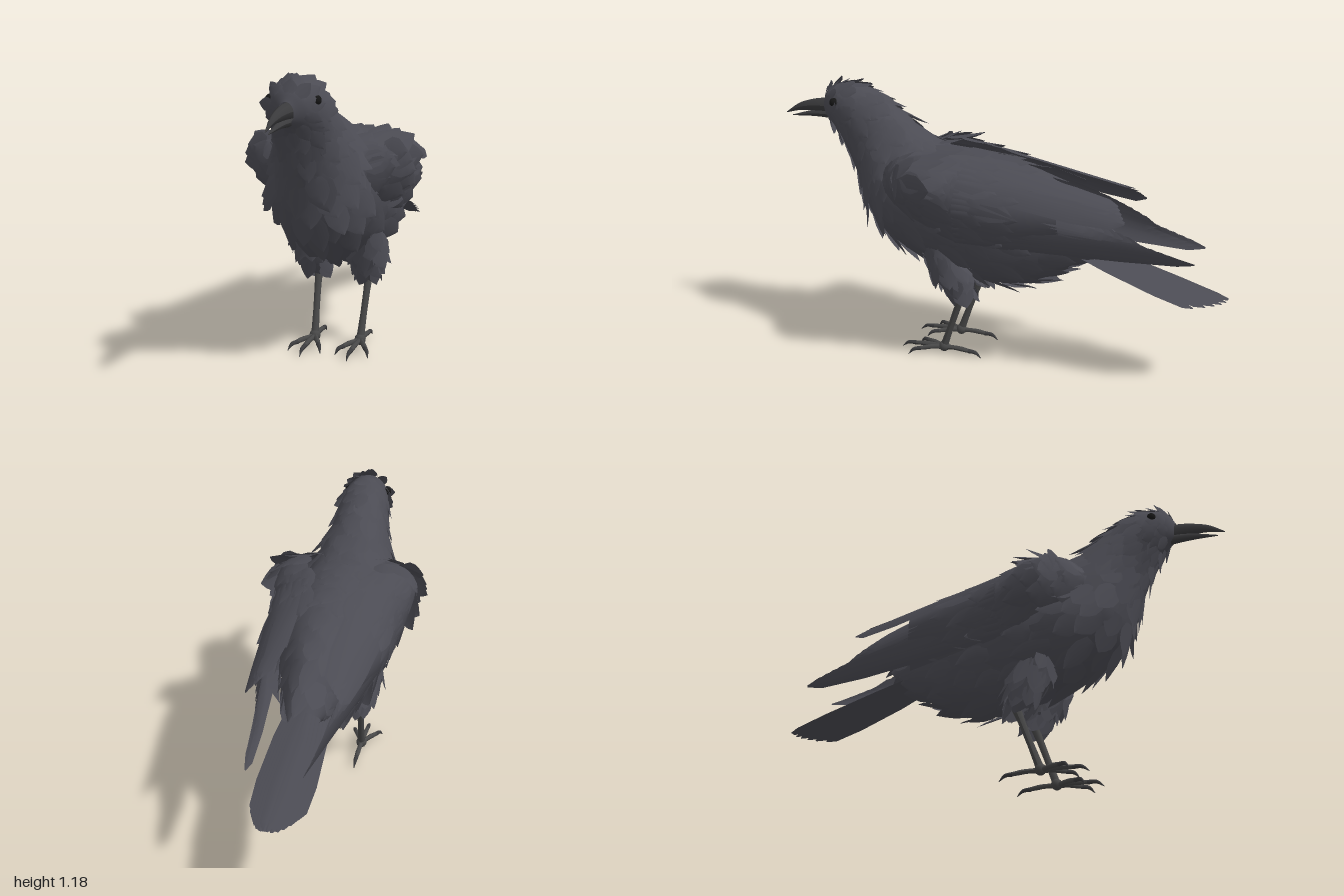
import * as THREE from 'three';
import { ParametricGeometry } from 'three/addons/geometries/ParametricGeometry.js';

const V = (x, y, z) => new THREE.Vector3(x, y, z);
const lerp = THREE.MathUtils.lerp;
const paint = (color) => new THREE.MeshStandardMaterial({ color, side: THREE.DoubleSide });
const plumage = paint(0x4b4b53);
const horn = paint(0x3b3b3d);
const skin = paint(0x474747);
const eyeBlack = paint(0x161616);

let seed = 7;
const rand = () => (seed = (seed * 16807) % 2147483647) / 2147483647;
const jitter = (r) => (rand() - 0.5) * 2 * r;

function named(name, geometry, material) {
  const mesh = new THREE.Mesh(geometry, material);
  mesh.name = name;
  return mesh;
}

// Feather outlines: [distance along, half width]
const POINTED = [[0, 0.55], [0.3, 1], [0.6, 0.95], [0.82, 0.55], [1, 0.03]];
const LONG = [[0, 0.4], [0.3, 0.85], [0.7, 1], [0.93, 0.75], [1, 0.12]];

// Collects many curved feathers into one geometry
class Feathers {
  constructor() { this.pos = []; this.idx = []; }

  add(from, to, normal, halfWidth, lift = 0.01, shape = POINTED) {
    const dir = to.clone().sub(from).normalize();
    const side = normal.clone().cross(dir).normalize();
    const up = dir.clone().cross(side);
    const base = this.pos.length / 3;
    shape.forEach(([s, w], i) => {
      for (const c of [-1, 0, 1]) {
        const p = from.clone().lerp(to, s)
          .addScaledVector(side, c * w * halfWidth)
          .addScaledVector(up, lift * s - Math.abs(c) * w * halfWidth * 0.2);
        this.pos.push(p.x, p.y, p.z);
      }
      if (i === 0) return;
      for (const c of [0, 1]) {
        const a = base + (i - 1) * 3 + c;
        this.idx.push(a, a + 3, a + 1, a + 1, a + 3, a + 4);
      }
    });
  }

  // Staggered rows of feathers laid over a surface(u along, v across)
  cover(surface, { rows, count, u0 = 0, u1 = 1, v0 = 0, v1 = 1, length, width, lift = 0.015 }) {
    for (let i = 0; i < rows; i++) {
      const k = i / (rows - 1);
      const n = Math.round(lerp(count[0], count[1], k));
      for (let j = 0; j < n; j++) {
        const u = lerp(u0, u1, k) + jitter(0.014);
        const v = lerp(v0, v1, (j + (i % 2) * 0.5 + jitter(0.25)) / n);
        const p = surface(u, v);
        const along = surface(u + 0.03, v).sub(p).normalize();
        const across = surface(u, v + 0.01).sub(p).normalize();
        const normal = across.clone().cross(along).normalize();
        const len = length(k) * (1 + jitter(0.25));
        const tip = p.clone().addScaledVector(along, len).addScaledVector(across, len * jitter(0.15));
        this.add(p.addScaledVector(normal, 0.003), tip, normal, width(k) * (1 + jitter(0.2)), lift * (1 + jitter(0.9)));
      }
    }
  }

  mesh(name) {
    const g = new THREE.BufferGeometry();
    g.setAttribute('position', new THREE.Float32BufferAttribute(this.pos, 3));
    g.setIndex(this.idx);
    g.computeVertexNormals();
    return named(name, g, plumage);
  }
}

const skinOf = (surface, nu, nv) =>
  new ParametricGeometry((a, b, t) => t.copy(surface(b, a)), nv, nu);

// Round tube whose radius follows a list of values
function taperTube(points, radii, squash = 1) {
  const curve = new THREE.CatmullRomCurve3(points);
  const N = 14, R = 8;
  const g = new THREE.TubeGeometry(curve, N, 1, R);
  const p = g.attributes.position;
  for (let i = 0; i < p.count; i++) {
    const t = Math.floor(i / (R + 1)) / N;
    const c = curve.getPointAt(t);
    const f = t * (radii.length - 1), k = Math.min(Math.floor(f), radii.length - 2);
    const v = V().fromBufferAttribute(p, i).sub(c).multiplyScalar(lerp(radii[k], radii[k + 1], f - k));
    v.x *= squash;
    p.setXYZ(i, c.x + v.x, c.y + v.y, c.z + v.z);
  }
  g.computeVertexNormals();
  return g;
}

// Body sections: top z, top y, bottom z, bottom y, half width
const SECTIONS = [
  [0.80, 1.08, 0.79, 1.0, 0.03], [0.765, 1.13, 0.75, 0.97, 0.075], [0.67, 1.15, 0.71, 0.92, 0.1],
  [0.53, 1.1, 0.665, 0.83, 0.114], [0.40, 1.0, 0.615, 0.72, 0.15], [0.29, 0.925, 0.55, 0.57, 0.2],
  [0.12, 0.905, 0.41, 0.455, 0.225], [-0.05, 0.88, 0.22, 0.385, 0.22], [-0.2, 0.83, 0.0, 0.335, 0.195],
  [-0.35, 0.745, -0.18, 0.365, 0.14], [-0.5, 0.6, -0.42, 0.5, 0.07],
];
const topLine = new THREE.CatmullRomCurve3(SECTIONS.map((s) => V(s[4], s[1], s[0])));
const bottomLine = new THREE.CatmullRomCurve3(SECTIONS.map((s) => V(s[4], s[3], s[2])));
function bodySurface(u, v) {
  const k = THREE.MathUtils.clamp(u, 0, 1);
  const t = topLine.getPoint(k), b = bottomLine.getPoint(k), a = v * Math.PI * 2;
  const c = (1 + Math.cos(a)) / 2;
  return V(Math.sin(a) * t.x, lerp(b.y, t.y, c), lerp(b.z, t.z, c));
}

// Folded wing: upper edge, outermost line and lower edge; the front tucks into the breast
const upperEdge = new THREE.CatmullRomCurve3([V(0.11, 0.86, 0.45), V(0.17, 0.905, 0.29), V(0.13, 0.905, 0.12), V(0.1, 0.87, -0.1), V(0.09, 0.8, -0.36)]);
const outerLine = new THREE.CatmullRomCurve3([V(0.15, 0.8, 0.48), V(0.3, 0.83, 0.31), V(0.275, 0.79, 0.13), V(0.255, 0.75, -0.08), V(0.215, 0.71, -0.33)]);
const lowerEdge = new THREE.CatmullRomCurve3([V(0.14, 0.7, 0.47), V(0.235, 0.66, 0.3), V(0.24, 0.6, 0.14), V(0.205, 0.555, -0.08), V(0.125, 0.54, -0.36)]);
function wingSurface(u, v) {
  const k = THREE.MathUtils.clamp(u, 0, 1);
  const a = upperEdge.getPoint(k), m = outerLine.getPoint(k), b = lowerEdge.getPoint(k);
  return a.multiplyScalar((1 - v) * (1 - 2 * v)).addScaledVector(m, 4 * v * (1 - v)).addScaledVector(b, v * (2 * v - 1));
}

function makeWing() {
  const wing = new THREE.Group();
  wing.add(named('wingShell', skinOf(wingSurface, 20, 12), plumage));
  const flight = new Feathers();
  // groups: v range, first tip, last tip, number, half width
  const sets = [
    [0.72, 1, V(0.125, 0.6, -0.68), V(0.105, 0.558, -0.87), 6, 0.032],
    [0.38, 0.7, V(0.18, 0.68, -0.48), V(0.13, 0.615, -0.66), 6, 0.04],
    [0.02, 0.36, V(0.135, 0.765, -0.56), V(0.18, 0.715, -0.6), 5, 0.048],
  ];
  for (const [v0, v1, tipA, tipB, n, w] of sets) {
    for (let i = 0; i < n; i++) {
      const k = i / (n - 1), v = lerp(v0, v1, k);
      const root = wingSurface(0.55, v);
      const normal = wingSurface(0.55, v + 0.02).sub(root).cross(wingSurface(0.65, v).sub(root)).normalize();
      root.addScaledVector(normal, 0.004 + 0.002 * i);
      flight.add(root, tipA.clone().lerp(tipB, k), normal, w, 0.006, LONG);
    }
  }
  wing.add(flight.mesh('flightFeathers'));
  const coverts = new Feathers();
  coverts.cover(wingSurface, { rows: 7, count: [6, 8], u0: 0.06, u1: 0.62, v0: 0.04, v1: 0.98,
    length: (k) => lerp(0.12, 0.2, k), width: (k) => lerp(0.052, 0.042, k), lift: 0.01 });
  // loose shoulder feathers pointing outward
  for (let i = 0; i < 3; i++) {
    const root = wingSurface(0.17, 0.3 + i * 0.12);
    coverts.add(root, root.clone().add(V(0.085, -0.015 - i * 0.015, -0.03 - i * 0.02)), V(0.4, 0.2, 1), 0.05, 0.008);
  }
  wing.add(coverts.mesh('wingCoverts'));
  return wing;
}

function makeLeg() {
  const leg = new THREE.Group();
  // feathered thigh
  const thigh = (u, v) => {
    const a = v * Math.PI * 2, r = 0.035 + 0.05 * Math.sin(Math.PI * Math.min(1, 0.3 + u * 0.65));
    return V(0.118 - Math.sin(a) * r * 0.85, lerp(0.54, 0.3, u), lerp(0.22, 0.125, u) + Math.cos(a) * r);
  };
  leg.add(named('thigh', skinOf(thigh, 10, 14), plumage));
  const tuft = new Feathers();
  tuft.cover(thigh, { rows: 6, count: [7, 7], u0: 0.1, u1: 0.85, length: (k) => lerp(0.12, 0.07, k), width: () => 0.04, lift: 0.022 });
  leg.add(tuft.mesh('thighFeathers'));
  // shank and ankle
  leg.add(named('shank', taperTube([V(0.118, 0.34, 0.1), V(0.112, 0.19, 0.155), V(0.105, 0.035, 0.21)], [0.022, 0.015, 0.014, 0.017]), skin));
  const ankle = named('ankle', new THREE.SphereGeometry(0.024, 12, 8), skin);
  ankle.position.set(0.105, 0.034, 0.21);
  leg.add(ankle);
  // three toes forward, one back, each with a hooked claw
  for (const [dx, dz] of [[0, 0.2], [0.072, 0.14], [-0.068, 0.14], [0.004, -0.175]]) {
    const at = (k, y) => V(0.105 + dx * k, y, 0.21 + dz * k);
    leg.add(named('toe', taperTube([at(0, 0.03), at(0.35, 0.033), at(0.7, 0.028)], [0.014, 0.01, 0.011, 0.009]), skin));
    leg.add(named('claw', taperTube([at(0.66, 0.028), at(0.85, 0.025), at(1, 0.003)], [0.01, 0.008, 0.001]), horn));
  }
  return leg;
}

export function createModel() {
  seed = 7;
  const bird = new THREE.Group();
  bird.name = 'bird';
  bird.add(named('body', skinOf(bodySurface, 48, 32), plumage));

  // body plumage: fine on the head, larger toward the belly
  const coat = new Feathers();
  coat.cover(bodySurface, { rows: 9, count: [10, 16], u0: 0.07, u1: 0.34, length: (k) => lerp(0.055, 0.11, k), width: (k) => lerp(0.024, 0.038, k), lift: 0.016 });
  coat.cover(bodySurface, { rows: 13, count: [16, 12], u0: 0.36, u1: 0.93, length: (k) => lerp(0.13, 0.14, k), width: (k) => lerp(0.05, 0.042, k), lift: 0.022 });
  bird.add(coat.mesh('bodyFeathers'));

  // tail fan, outer feathers lower and shorter
  const tail = new Feathers();
  for (let i = 5; i >= 0; i--) {
    for (const s of [-1, 1]) {
      const x = s * (i + 0.4);
      tail.add(V(x * 0.014, 0.575 - i * 0.008, -0.36), V(x * 0.0155, 0.388 - i * 0.005, -0.995 + i * i * 0.005), V(0, 1, -0.28), 0.038, 0, LONG);
    }
  }
  bird.add(tail.mesh('tail'));

  // bill
  bird.add(named('upperBill', taperTube([V(0, 1.045, 0.76), V(0, 1.042, 0.85), V(0, 1.028, 0.93), V(0, 0.998, 1.0)], [0.036, 0.029, 0.018, 0.002], 0.75), horn));
  bird.add(named('lowerBill', taperTube([V(0, 1.008, 0.76), V(0, 1.004, 0.86), V(0, 0.987, 0.97)], [0.022, 0.014, 0.002]), horn));

  for (const s of [1, -1]) {
    const half = new THREE.Group();
    half.name = s > 0 ? 'leftSide' : 'rightSide';
    half.scale.x = s;
    const wing = makeWing();
    wing.name = 'wing';
    const leg = makeLeg();
    leg.name = 'leg';
    leg.position.x = s > 0 ? 0 : -0.012; // right foot stands slightly inward
    const eye = named('eye', new THREE.SphereGeometry(0.019, 14, 10), eyeBlack);
    eye.position.set(0.088, 1.08, 0.715);
    half.add(wing, leg, eye);
    bird.add(half);
  }
  return bird;
}
